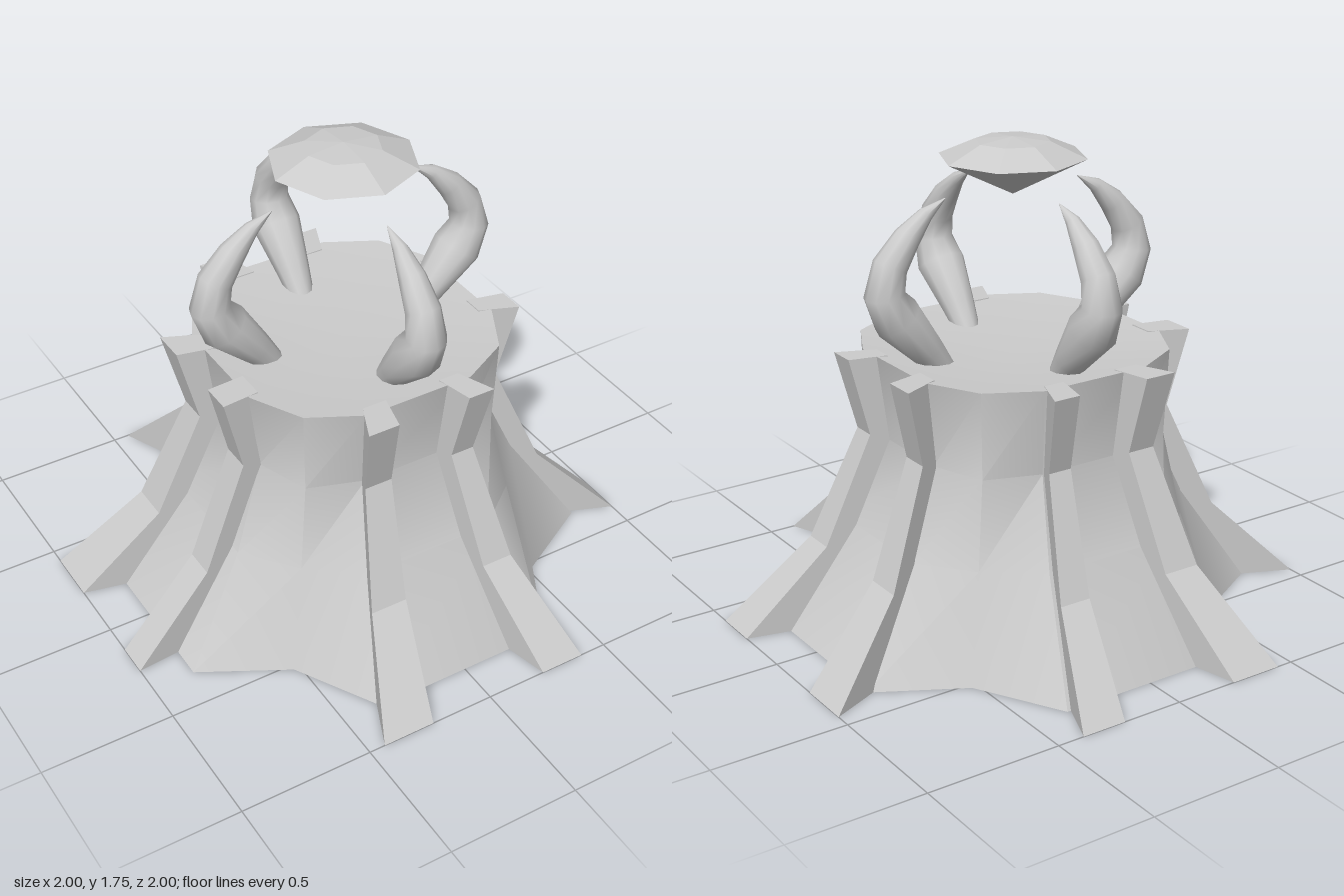
import * as THREE from 'three';
import { toCreasedNormals } from 'three/addons/utils/BufferGeometryUtils.js';

const material = new THREE.MeshStandardMaterial({ color: 0xcccccc, side: THREE.DoubleSide });
const V = (x, y, z) => new THREE.Vector3(x, y, z);

// Skin a stack of equal-length rings, optionally closed by a fan at either end.
function loft(rings, { bottom, top, crease = 0.6 } = {}) {
  const n = rings[0].length;
  const positions = [];
  const tri = (...points) => points.forEach((p) => positions.push(p.x, p.y, p.z));
  for (let k = 0; k < rings.length - 1; k++) {
    for (let i = 0; i < n; i++) {
      const j = (i + 1) % n;
      const [a, b, c, d] = [rings[k][i], rings[k][j], rings[k + 1][j], rings[k + 1][i]];
      tri(a, b, c);
      tri(a, c, d);
    }
  }
  const last = rings[rings.length - 1];
  for (let i = 0; i < n; i++) {
    const j = (i + 1) % n;
    if (bottom) tri(bottom, rings[0][j], rings[0][i]);
    if (top) tri(top, last[i], last[j]);
  }
  const geometry = new THREE.BufferGeometry();
  geometry.setAttribute('position', new THREE.Float32BufferAttribute(positions, 3));
  geometry.computeVertexNormals();
  return toCreasedNormals(geometry, crease);
}

function makeMesh(name, geometry) {
  const mesh = new THREE.Mesh(geometry, material);
  mesh.name = name;
  return mesh;
}

// Flared trunk, open below, with a slightly sunken top.
function createTrunk() {
  // height, face distance, face half width, diagonal corner
  const sections = [
    [0, 0.84, 0.35, 0.525],
    [0.38, 0.59, 0.25, 0.44],
    [0.69, 0.46, 0.19, 0.39],
    [1.01, 0.5, 0.21, 0.4],
  ];
  const rings = sections.map(([y, r, a, d]) => {
    const ring = [];
    for (let q = 0; q < 4; q++) {
      for (const [x, z] of [[-a, r], [a, r], [d, d]]) {
        ring.push(V(x, y, z).applyAxisAngle(V(0, 1, 0), q * Math.PI / 2));
      }
    }
    return ring;
  });
  return makeMesh('trunk', loft(rings, { top: V(0, 0.96, 0) }));
}

// Root rib on the +z face; edge(r) gives its two side positions at distance r.
function createRib(edge) {
  // height, inner distance, outer distance
  const sections = [[0, 0.8, 1], [0.31, 0.6, 0.7], [0.72, 0.43, 0.53], [1.01, 0.46, 0.6]];
  const rings = sections.map(([y, inner, outer]) => {
    const [o0, o1] = edge(outer);
    const [i0, i1] = edge(inner);
    return [V(o0, y, outer), V(o1, y, outer), V(i1, y, inner), V(i0, y, inner)];
  });
  const middle = (ring) => ring.reduce((sum, p) => sum.add(p), V(0, 0, 0)).divideScalar(4);
  return makeMesh('rootRib', loft(rings, {
    bottom: middle(rings[0]), top: middle(rings[3]), crease: 0.1,
  }));
}

// Horn that bows outward and curls back toward the centre.
function createHornGeometry() {
  // distance, height, radius
  const spine = [
    [0.29, 0.95, 0.045], [0.36, 1.04, 0.062], [0.48, 1.18, 0.09], [0.53, 1.27, 0.072],
    [0.505, 1.37, 0.062], [0.435, 1.46, 0.048], [0.36, 1.53, 0.027], [0.28, 1.575, 0.002],
  ];
  const sides = 10;
  const rings = spine.map(([r, y, radius], k) => {
    const before = spine[Math.max(k - 1, 0)];
    const after = spine[Math.min(k + 1, spine.length - 1)];
    const angle = Math.atan2(after[0] - before[0], after[1] - before[1]);
    return Array.from({ length: sides }, (_, i) => {
      const t = (i / sides) * Math.PI * 2;
      const out = radius * Math.cos(t);
      return V(radius * Math.sin(t), y - out * Math.sin(angle), r + out * Math.cos(angle));
    });
  });
  return loft(rings, { crease: 1.2 });
}

// Eight-sided faceted gem.
function createGem() {
  const profile = [[0, 1.55], [0.265, 1.685], [0.135, 1.742], [0, 1.755]];
  const lathe = new THREE.LatheGeometry(profile.map(([r, y]) => new THREE.Vector2(r, y)), 8);
  return makeMesh('gem', toCreasedNormals(lathe, 0.05));
}

export function createModel() {
  const model = new THREE.Group();
  model.name = 'hornedStump';
  model.add(createTrunk());

  // Rib sides run radially, except one narrower rib on the right-hand face
  const radial = (a, b) => (r) => [a * r, b * r];
  const narrow = (r) => [0.06 + 0.06 * r, 0.155 + 0.09 * r];
  const faces = [
    [0, radial(-0.44, -0.24), radial(0.23, 0.4)],
    [Math.PI / 2, radial(0.24, 0.44), radial(-0.4, -0.23)],
    [Math.PI, radial(0.24, 0.44), radial(-0.4, -0.23)],
    [-Math.PI / 2, radial(-0.44, -0.23), narrow],
  ];
  const horn = createHornGeometry();
  for (const [angle, ...edges] of faces) {
    const side = new THREE.Group();
    side.name = 'trunkSide';
    side.rotation.y = angle;
    edges.forEach((edge) => side.add(createRib(edge)));
    side.add(makeMesh('horn', horn));
    model.add(side);
  }

  model.add(createGem());
  return model;
}
